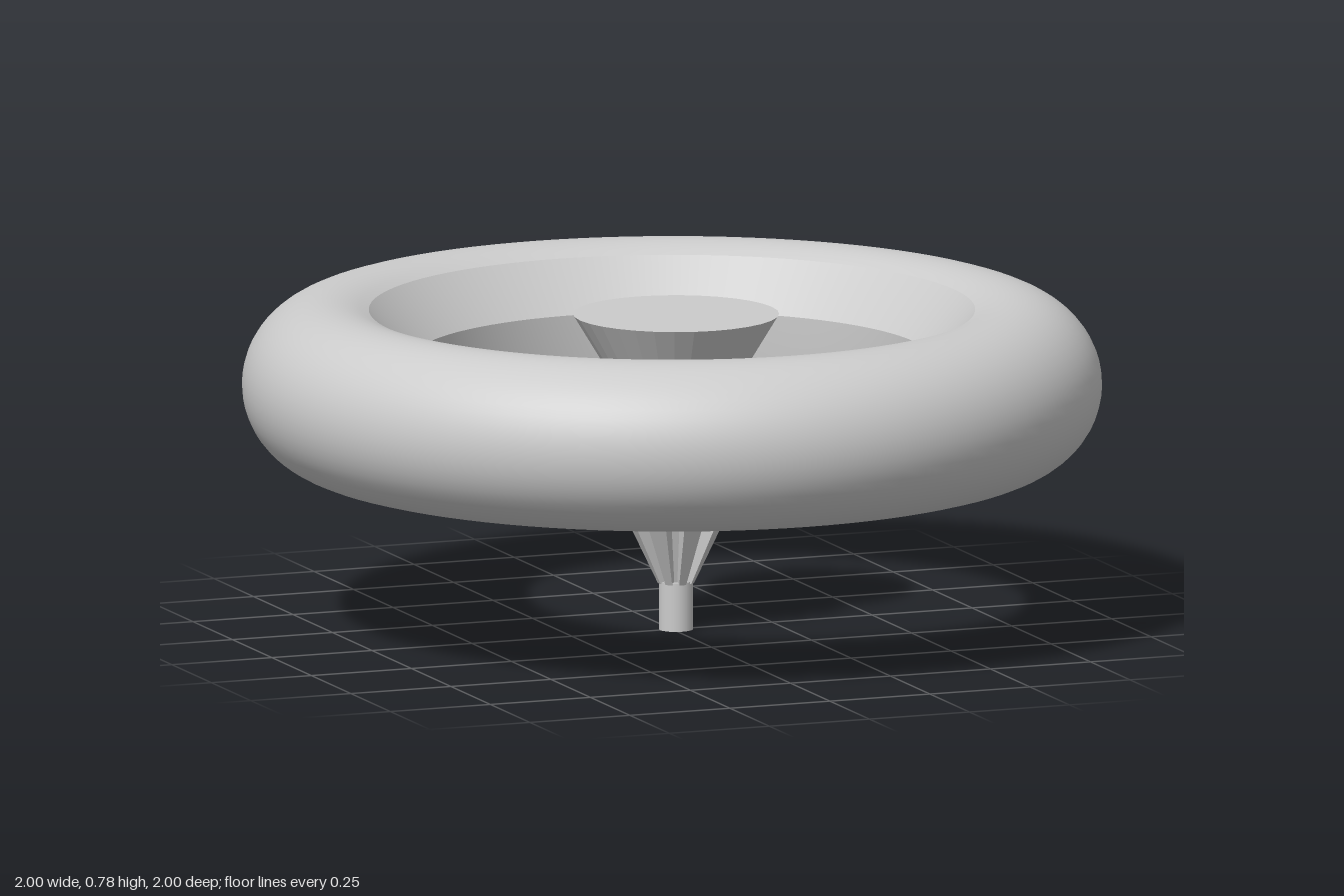
import * as THREE from 'three';

const CENTRE_Y = 0.58, TUBE = 0.2, MAJOR = 0.8;

export function createModel() {
  const model = new THREE.Group();
  const smooth = new THREE.MeshStandardMaterial({ color: 0xcccccc });
  const flat = new THREE.MeshStandardMaterial({ color: 0xcccccc, flatShading: true });

  const add = (name, geometry, material, parent = model) => {
    const mesh = new THREE.Mesh(geometry, material);
    mesh.name = name;
    parent.add(mesh);
    return mesh;
  };
  const lathe = (points) =>
    new THREE.LatheGeometry(points.map(([x, y]) => new THREE.Vector2(x, y)), 96);

  // Round tyre, open on the inner side where the rim sits
  const start = -Math.PI + Math.asin(0.0625 / TUBE);
  const end = Math.PI - Math.acos(0.095 / TUBE);
  const arc = [];
  for (let i = 0; i <= 40; i++) {
    const a = start + (end - start) * i / 40;
    arc.push([MAJOR + TUBE * Math.cos(a), CENTRE_Y + TUBE * Math.sin(a)]);
  }
  add('tyre', lathe(arc), smooth);

  // Sloping ledge and narrow inner band
  const top = arc[arc.length - 1], bottom = arc[0];
  const lip = [0.604, CENTRE_Y + 0.06];
  add('rimSlope', lathe([top, lip]), smooth);
  add('rimBand', lathe([lip, [0.604, CENTRE_Y - 0.055], bottom]), smooth);

  // Centre column, set very slightly to one side
  const hub = new THREE.Group();
  hub.name = 'hub';
  hub.position.x = 0.01;
  model.add(hub);
  const column = (name, rTop, rBottom, y0, y1, sides, material = smooth) => {
    const mesh = add(name, new THREE.CylinderGeometry(rTop, rBottom, y1 - y0, sides), material, hub);
    mesh.position.y = (y0 + y1) / 2;
    return mesh;
  };
  column('stem', 0.04, 0.04, 0, 0.115, 24);
  column('core', 0.04, 0.04, 0.45, 0.61, 16);
  column('cup', 0.24, 0.155, 0.605, 0.745, 32, flat);

  // Thin rods between the fluted cone and the cup
  for (let i = 0; i < 8; i++) {
    const a = (i / 8) * Math.PI * 2;
    const rod = column('rod', 0.012, 0.012, 0.44, 0.61, 8);
    rod.position.x = 0.1 * Math.cos(a);
    rod.position.z = 0.1 * Math.sin(a);
  }

  // Fluted cone: a toothed outline that narrows towards the stem
  const star = new THREE.Shape();
  for (let i = 0; i < 8; i++) {
    for (const [offset, r] of [[-0.26, 0.13], [-0.2, 0.215], [0.2, 0.215], [0.26, 0.13]]) {
      const a = (i / 8) * Math.PI * 2 + offset;
      const x = r * Math.cos(a), y = r * Math.sin(a);
      if (i === 0 && offset === -0.26) star.moveTo(x, y);
      else star.lineTo(x, y);
    }
  }
  star.closePath();
  const height = 0.36;
  const cone = new THREE.ExtrudeGeometry(star, { depth: height, bevelEnabled: false, steps: 1 });
  const p = cone.attributes.position;
  for (let i = 0; i < p.count; i++) {
    const s = 0.2 + 0.8 * p.getZ(i) / height;
    p.setXY(i, p.getX(i) * s, p.getY(i) * s);
  }
  cone.rotateX(-Math.PI / 2);
  cone.computeVertexNormals();
  add('flutedCone', cone, flat, hub).position.y = 0.11;

  return model;
}
